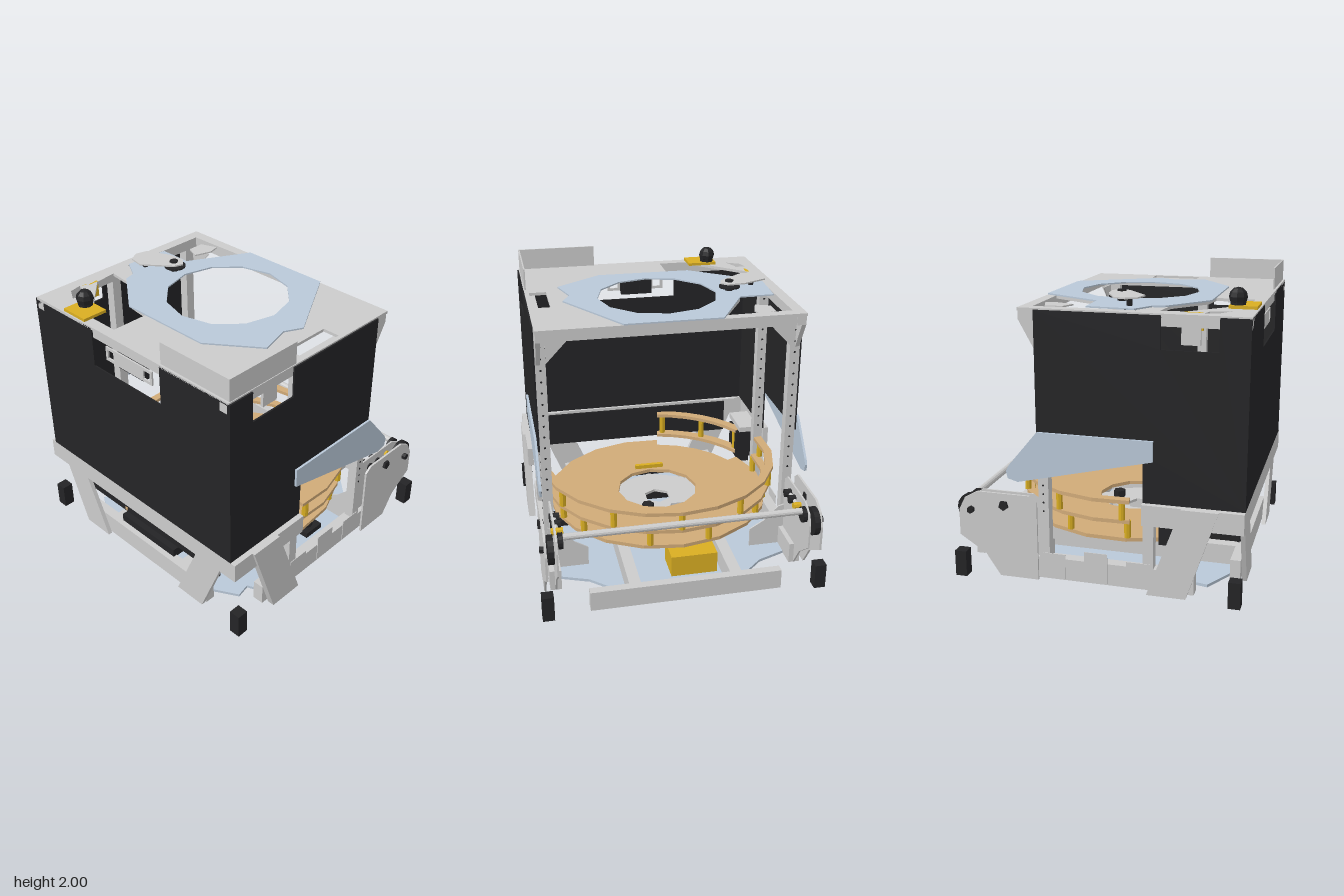
import * as THREE from 'three';

const mat = (color) => new THREE.MeshStandardMaterial({ color, flatShading: true, side: THREE.DoubleSide });
const GREY = mat(0xcccccc), BLACK = mat(0x242426), BLUE = mat(0xb9c8d8), WOOD = mat(0xd0aa78), YELLOW = mat(0xd9ae22);

export function createModel() {
  const root = new THREE.Group();
  const add = (name, geo, m, x = 0, y = 0, z = 0) => {
    const mesh = new THREE.Mesh(geo, m);
    mesh.name = name;
    mesh.position.set(x, y, z);
    root.add(mesh);
    return mesh;
  };
  // Box given by its min and max on each axis
  const box = (name, m, x0, x1, y0, y1, z0, z1) =>
    add(name, new THREE.BoxGeometry(x1 - x0, y1 - y0, z1 - z0), m, (x0 + x1) / 2, (y0 + y1) / 2, (z0 + z1) / 2);
  const rod = (name, m, r, len, axis, x, y, z, sides = 12) => {
    const geo = new THREE.CylinderGeometry(r, r, len, sides);
    if (axis === 'x') geo.rotateZ(Math.PI / 2);
    if (axis === 'z') geo.rotateX(Math.PI / 2);
    return add(name, geo, m, x, y, z);
  };
  const v2 = (pts) => pts.map(([a, b]) => new THREE.Vector2(a, b));
  // Flat plate centred at pos: normal z uses (x,y), normal x uses (z,y), normal y uses (x,z)
  const plate = (name, m, axis, pos, t, pts, holes = []) => {
    const shape = new THREE.Shape(v2(pts));
    holes.forEach((h) => shape.holes.push(new THREE.Path(v2(h))));
    const geo = new THREE.ExtrudeGeometry(shape, { depth: t, bevelEnabled: false });
    geo.translate(0, 0, -t / 2);
    if (axis === 'x') geo.rotateY(-Math.PI / 2);
    if (axis === 'y') geo.rotateX(Math.PI / 2);
    return add(name, geo, m, axis === 'x' ? pos : 0, axis === 'y' ? pos : 0, axis === 'z' ? pos : 0);
  };
  const arc = (cx, r, a0, a1, n) => Array.from({ length: n + 1 }, (_, i) => {
    const a = a0 + ((a1 - a0) * i) / n;
    return [cx + r * Math.cos(a), r * Math.sin(a)];
  });
  const ngon = (cx, r, n) => arc(cx, r, 0, 2 * Math.PI * (1 - 1 / n), n - 1);
  const band = (cx, r0, r1, a0, a1, n) => [...arc(cx, r1, a0, a1, n), ...arc(cx, r0, a1, a0, n)];
  const CX = -0.07;

  // Base plate with notched corners
  plate('basePlate', BLUE, 'y', 0.02, 0.02, [
    [0.82, -0.38], [0.82, 0.38], [0.6, 0.62], [0.5, 0.88], [-0.55, 0.88], [-0.62, 0.72], [-0.72, 0.74], [-0.9, 0.42],
    [-0.9, -0.42], [-0.72, -0.74], [-0.62, -0.72], [-0.55, -0.88], [0.5, -0.88], [0.6, -0.62]]);

  // Base rails
  box('bumperRail', GREY, 0.9, 0.96, 0.03, 0.17, -0.66, 0.66);
  box('leftRail', GREY, -0.92, -0.85, 0.02, 0.17, -0.62, 0.62);
  box('yellowBattery', YELLOW, 0.45, 0.68, 0.03, 0.185, -0.28, 0.05);
  box('controlBox', BLACK, -0.88, -0.6, 0.16, 0.23, -0.3, 0.25);

  for (const s of [1, -1]) {
    const zb = (name, m, x0, x1, y0, y1, z0, z1) =>
      box(name, m, x0, x1, y0, y1, Math.min(s * z0, s * z1), Math.max(s * z0, s * z1));
    zb('sideRail', GREY, -0.66, 0.66, 0.02, 0.17, 0.82, 0.9);
    zb('crossChannel', GREY, -0.88, 0.96, 0.03, 0.17, 0.31, 0.39);
    for (const x of [-0.29, 0, 0.29]) zb('railTab', GREY, x - 0.08, x + 0.08, 0.03, 0.24 - Math.abs(x) / 8, 0.9, 0.905);
    for (const x of [-0.935, 0.935]) zb('cornerFoot', BLACK, x - 0.04, x + 0.04, 0, 0.18, 0.9, 0.98);

    // Lower belt, slanted legs and end bulkhead
    zb('lowerBelt', GREY, -0.98, -0.32, 0.49, 0.63, 0.91, 0.95);
    plate('slantedLeg', GREY, 'z', s * 0.945, 0.05, [[-0.82, 0.63], [-0.58, 0.63], [-0.36, 0.02], [-0.62, 0.02]]);
    plate('leftLeg', GREY, 'x', -0.95, 0.03, [[s * 0.86, 0.63], [s * 0.64, 0.63], [s * 0.38, 0.03], [s * 0.62, 0.03]]);
    plate('bulkhead', GREY, 'x', 0.4, 0.012, [
      [s * 0.88, 0.02], [s * 0.88, 0.36], [s * 0.81, 0.34], [s * 0.7, 0.23], [s * 0.6, 0.17], [s * 0.6, 0.02]]);

    // Perforated posts
    for (const x of [-0.355, 0.355]) {
      zb('post', GREY, x - 0.035, x + 0.035, 0.15, 1.83, 0.83, 0.9);
      for (let y = 0.66; y < 1.75; y += 0.08) rod('postHole', BLACK, 0.008, 0.004, 'x', x + 0.035, y, s * 0.865, 6);
    }
    for (let y = 0.5; y < 0.95; y += 0.06) rod('postHole', BLACK, 0.007, 0.004, 'z', 0.355, y, s * 0.901, 6);
    zb('topSideRail', GREY, -0.98, 0.5, 1.77, 1.83, 0.83, 0.89);
    plate('topBracket', GREY, 'z', s * 0.88, 0.03, [[0.38, 1.84], [0.495, 1.84], [0.495, 1.77], [0.39, 1.58]]);
    plate('cornerGusset', GREY, 'x', 0.4, 0.01, [[s * 0.83, 1.77], [s * 0.66, 1.77], [s * 0.83, 1.59]]);

    // Side panel with stepped foot and top cutout
    plate('sidePanel', BLACK, 'z', s * 0.905, 0.012, [
      [-0.98, 0.63], [-0.32, 0.63], [-0.32, 0.95], [0.39, 0.95], [0.39, 1.84],
      [-0.43, 1.84], [-0.43, 1.63], [-0.79, 1.63], [-0.79, 1.84], [-0.98, 1.84]]);
    plate('cutoutBracket', GREY, 'z', s * 0.87, 0.02, [[-0.74, 1.84], [-0.48, 1.84], [-0.55, 1.77], [-0.55, 1.66], [-0.67, 1.66], [-0.67, 1.77]]);
    plate('wing', BLUE, 'z', s * 0.925, 0.016, [
      [-0.39, 1.05], [0.38, 1.05], [0.58, 0.81], [0.6, 0.77], [0.59, 0.72], [0.52, 0.7], [-0.39, 0.915]]);

    // Drive housing: outer and inner plates with the wheel between, and small rollers
    plate('driveHousing', GREY, 'z', s * 0.935, 0.015, [
      [0.39, 0.02], [0.39, 0.57], [0.44, 0.61], [0.81, 0.61], [0.9, 0.56], [0.945, 0.47], [0.945, 0.29], [0.76, 0.17], [0.66, 0.02]]);
    plate('innerHousing', GREY, 'z', s * 0.86, 0.012, [
      [0.39, 0.02], [0.39, 0.56], [0.44, 0.6], [0.8, 0.6], [0.89, 0.55], [0.92, 0.47], [0.92, 0.3], [0.76, 0.17], [0.66, 0.02]]);
    rod('driveWheel', BLACK, 0.1, 0.04, 'z', 0.865, 0.48, s * 0.9, 16);
    rod('axleBolt', BLACK, 0.025, 0.04, 'z', 0.855, 0.48, s * 0.95, 6);
    rod('axleBolt', BLACK, 0.035, 0.04, 'z', 0.62, 0.53, s * 0.94, 5);
    rod('pulley', BLACK, 0.055, 0.03, 'z', 0.85, 0.53, s * 0.83, 14);
    for (const x of [0.53, 0.62]) rod('smallRoller', BLACK, 0.03, 0.07, 'z', x, 0.52, s * 0.84, 8);
    rod('yellowRoller', YELLOW, 0.025, 0.08, 'z', 0.73, 0.53, s * 0.84, 8);
    rod('rollerAxle', GREY, 0.014, 0.2, 'x', 0.62, 0.52, s * 0.84, 8);
  }
  rod('intakeShaft', GREY, 0.023, 1.66, 'z', 0.855, 0.56, 0, 12);

  // Left panel, its belt and the dark inner wall
  plate('leftPanel', BLACK, 'x', -0.975, 0.01, [
    [-0.9, 0.63], [0.9, 0.63], [0.9, 1.84], [0.32, 1.84], [0.32, 1.56], [-0.32, 1.56], [-0.32, 1.84], [-0.9, 1.84]]);
  box('leftBelt', GREY, -0.98, -0.95, 0.49, 0.63, -0.91, 0.91);
  box('innerWall', BLACK, -0.925, -0.91, 0.36, 0.62, -0.75, 0.75);
  box('leftTopRail', GREY, -0.97, -0.9, 1.77, 1.83, -0.83, 0.83);
  box('rightTopRail', GREY, 0.43, 0.495, 1.77, 1.83, -0.88, 0.88);

  // Twin sensor in the left cutout
  plate('sensorBracket', GREY, 'x', -0.95, 0.012, [[-0.22, 1.64], [0.22, 1.64], [0.22, 1.74], [-0.22, 1.74]],
    [[[-0.2, 1.66], [-0.14, 1.66], [-0.14, 1.72], [-0.2, 1.72]], [[0.14, 1.66], [0.2, 1.66], [0.2, 1.72], [0.14, 1.72]]]);
  box('sensorBody', BLACK, -0.94, -0.89, 1.62, 1.77, -0.12, 0.12);
  for (const z of [-0.06, 0.06]) box('sensorLens', BLACK, -0.89, -0.87, 1.645, 1.735, z - 0.04, z + 0.04);

  // Top deck with openings and the clear sheet over it
  plate('topDeck', GREY, 'y', 1.84, 0.02, [[-0.98, -0.9], [0.5, -0.9], [0.5, 0.9], [-0.98, 0.9]], [
    [[-0.56, 0.3], [-0.36, 0.58], [0, 0.58], [0.41, 0.33], [0.41, -0.32], [0.08, -0.5], [-0.2, -0.56], [-0.38, -0.54], [-0.56, -0.32]],
    [[-0.9, -0.19], [-0.64, -0.19], [-0.62, -0.35], [-0.42, -0.6], [-0.4, -0.8], [-0.56, -0.78], [-0.9, -0.42]],
    [[-0.83, -0.7], [-0.77, -0.8], [-0.68, -0.82], [-0.7, -0.75]],
    [[-0.25, -0.82], [0.42, -0.82], [0.43, -0.36], [0.1, -0.55], [-0.2, -0.62]],
    [[-0.32, 0.75], [0.03, 0.75], [0.03, 0.87], [-0.32, 0.87]]]);
  plate('clearSheet', BLUE, 'y', 1.855, 0.01, [
    [-0.64, 0.33], [-0.4, 0.66], [-0.18, 0.6], [-0.06, 0.66], [0.5, 0.33], [0.5, -0.33], [0.08, -0.56],
    [0.08, -0.8], [-0.24, -0.82], [-0.32, -0.68], [-0.4, -0.66], [-0.64, -0.35]], [ngon(CX, 0.42, 12)]);
  plate('deckCorner', GREY, 'y', 1.835, 0.01, [[0.22, -0.62], [0.26, -0.72], [0.38, -0.72], [0.42, -0.6], [0.34, -0.58]]);
  box('deckLip', GREY, -0.96, -0.4, 1.85, 2, 0.885, 0.895);
  box('deckLip', GREY, -0.965, -0.955, 1.85, 2, 0.32, 0.895);

  // Swing arm on its spindles, and the beacon
  plate('swingArm', GREY, 'y', 1.918, 0.01, [
    [-0.25, -0.77], [-0.18, -0.81], [-0.1, -0.79], [-0.02, -0.62], [-0.01, -0.5], [-0.06, -0.45], [-0.12, -0.47], [-0.27, -0.66]]);
  rod('armSpindle', BLACK, 0.03, 0.08, 'y', -0.08, 1.895, -0.52, 6);
  rod('armSpindle', BLACK, 0.02, 0.065, 'y', -0.18, 1.89, -0.71, 6);
  rod('armSprocket', BLACK, 0.075, 0.01, 'y', -0.07, 1.89, -0.52, 16);
  box('beaconMount', YELLOW, -0.97, -0.79, 1.85, 1.87, -0.61, -0.4);
  add('beacon', new THREE.SphereGeometry(0.06, 8, 6), BLACK, -0.84, 1.92, -0.55);
  rod('beaconStem', BLACK, 0.05, 0.05, 'y', -0.84, 1.89, -0.55, 8);
  box('yellowClip', YELLOW, -0.67, -0.55, 1.74, 1.85, -0.81, -0.785);

  // Wooden tray (cut back beside the rear guide), rings and yellow spacers
  const G0 = Math.PI + 0.2, G1 = Math.PI + 1.1;
  plate('trayFloor', WOOD, 'y', 0.318, 0.026,
    [...arc(CX, 0.82, G1, G0 + 2 * Math.PI, 16), ...arc(CX, 0.73, G0, G1, 4)], [ngon(CX, 0.3, 12)]);
  const A = 1.74;
  plate('middleRing', WOOD, 'y', 0.455, 0.026, band(CX, 0.79, 0.85, -A, A, 12));
  plate('upperRing', WOOD, 'y', 0.6, 0.026, band(CX, 0.81, 0.87, -A, A, 12));
  const spacer = (name, r, y, len, a) => rod(name, YELLOW, 0.023, len, 'y', CX + r * Math.cos(a), y, r * Math.sin(a), 8);
  for (let i = -3; i <= 3; i++) spacer('upperSpacer', 0.84, 0.53, 0.12, i * 0.56);
  for (const a of [0.26, 0.9, 1.2, 1.72])
    for (const s of [1, -1]) spacer('lowerSpacer', 0.8, 0.39, 0.12, s * a);
  // Rear guide arcs
  plate('lowerGuide', WOOD, 'y', 0.385, 0.026, band(CX, 0.8, 0.88, G0, G1, 6));
  plate('upperGuide', WOOD, 'y', 0.56, 0.026, band(CX, 0.81, 0.88, G0, G1, 6));
  for (const a of [0.25, 0.65, 1.05]) spacer('guideSpacer', 0.84, 0.47, 0.17, Math.PI + a);
  box('feederBody', BLACK, -0.62, -0.42, 0.34, 0.57, -0.88, -0.72);
  box('feederCap', GREY, -0.7, -0.4, 0.57, 0.61, -0.89, -0.74);
  box('traySlot', YELLOW, -0.42, -0.39, 0.33, 0.36, -0.11, 0.11);

  // Hub below the tray opening
  plate('hubPlate', GREY, 'y', 0.25, 0.02, ngon(CX, 0.36, 8), [
    ngon(CX, 0.1, 6), [[0.07, -0.25], [0.17, -0.25], [0.17, -0.08], [0.13, -0.05], [0.07, -0.08]]]);
  box('hubMotor', BLACK, -0.36, -0.18, 0.17, 0.24, -0.25, 0.25);
  rod('hubKnob', BLACK, 0.045, 0.06, 'y', 0.12, 0.28, 0.11, 6);
  for (const s of [-1, 1]) box('hubStand', GREY, -0.3, 0.22, 0.03, 0.24, s * 0.28 - 0.02, s * 0.28 + 0.02);
  rod('frontMotor', BLACK, 0.05, 0.12, 'y', 0, 0.22, 0.72, 10);
  box('frontMotorBase', BLACK, -0.08, 0.08, 0.17, 0.21, 0.66, 0.8);
  return root;
}
